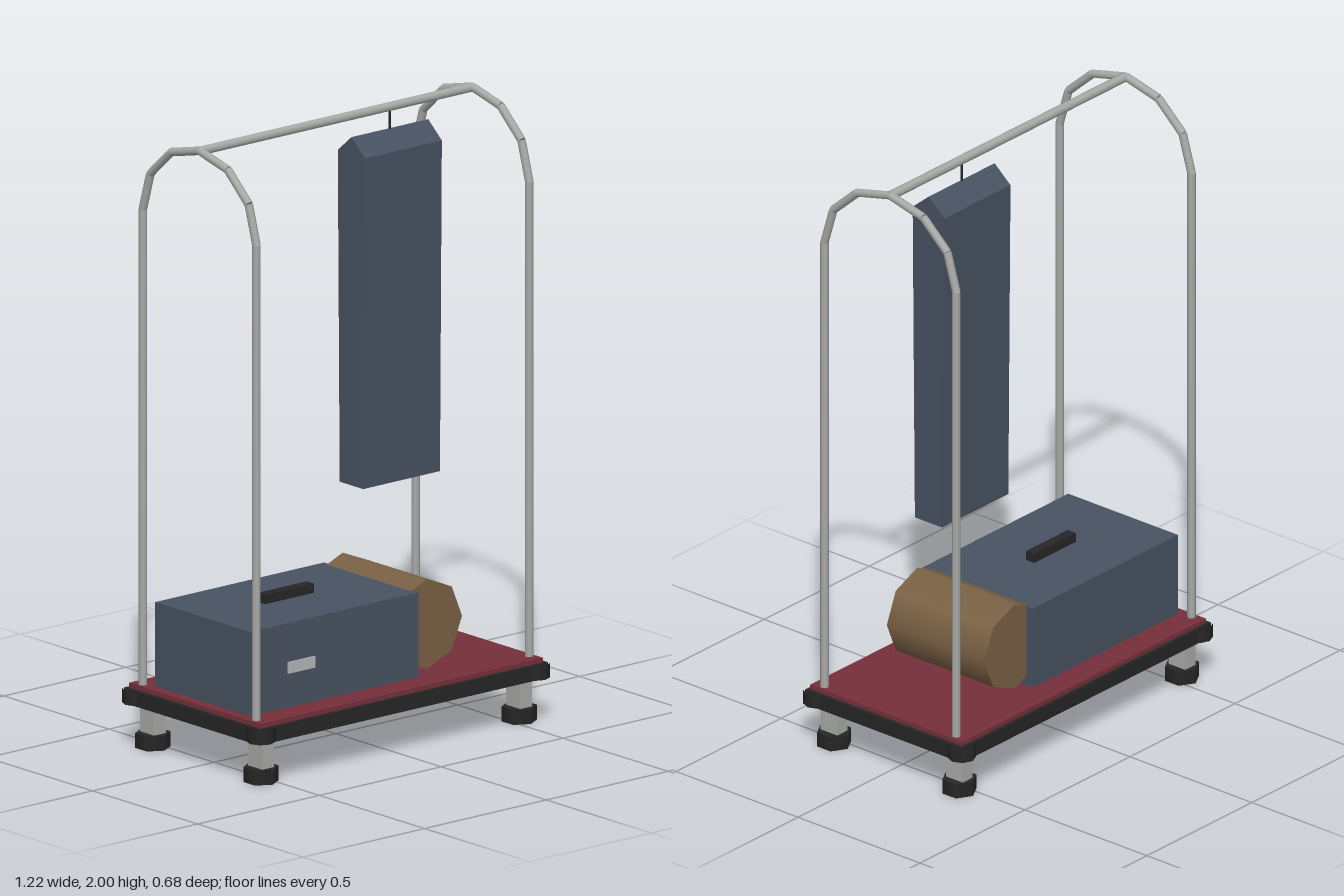
import * as THREE from 'three';

export function createModel() {
  const model = new THREE.Group();
  const mat = (name, color) => {
    const m = new THREE.MeshStandardMaterial({ color });
    m.name = name;
    return m;
  };
  const metal = mat('brushed metal', 0xa9aba8);
  const rubber = mat('black rubber', 0x262626);
  const carpet = mat('red carpet', 0x76303a);
  const fabric = mat('slate fabric', 0x485262);
  const leather = mat('brown leather', 0x7b6245);
  const plate = mat('light plate', 0xb4b8b8);

  const add = (name, geometry, material, x = 0, y = 0, z = 0, parent = model) => {
    const mesh = new THREE.Mesh(geometry, material);
    mesh.name = name;
    mesh.position.set(x, y, z);
    parent.add(mesh);
    return mesh;
  };
  // box given by its limits on each axis
  const box = (name, material, x0, x1, y0, y1, z0, z1) =>
    add(name, new THREE.BoxGeometry(x1 - x0, y1 - y0, z1 - z0), material,
      (x0 + x1) / 2, (y0 + y1) / 2, (z0 + z1) / 2);
  // round bar between two points
  const rod = (name, a, b, r, material, parent = model) => {
    const dir = b.clone().sub(a);
    const mesh = add(name, new THREE.CylinderGeometry(r, r, dir.length(), 8), material, 0, 0, 0, parent);
    mesh.position.copy(a).add(b).multiplyScalar(0.5);
    mesh.quaternion.setFromUnitVectors(new THREE.Vector3(0, 1, 0), dir.normalize());
  };

  // platform
  box('platform', rubber, -0.593, 0.593, 0.14, 0.19, -0.322, 0.322);
  box('carpet', carpet, -0.58, 0.58, 0.19, 0.205, -0.312, 0.312);

  // corner bumpers and casters
  for (const sx of [-1, 1]) {
    for (const sz of [-1, 1]) {
      const bumper = new THREE.CylinderGeometry(0.045, 0.045, 0.046, 8, 1, true);
      add('cornerBumper', bumper, rubber, sx * 0.564, 0.165, sz * 0.296);
      const caster = new THREE.Group();
      caster.name = 'caster';
      caster.position.set(sx * 0.53, 0, sz * 0.257);
      model.add(caster);
      add('casterStem', new THREE.BoxGeometry(0.048, 0.1, 0.068), metal, 0, 0.095, 0, caster);
      add('casterWheel', new THREE.CylinderGeometry(0.056, 0.056, 0.048, 6), rubber, 0, 0.024, 0, caster);
    }
  }

  // end hoops: two posts joined by a six-segment arch
  for (const sx of [-1, 1]) {
    const hoop = new THREE.Group();
    hoop.name = 'endHoop';
    model.add(hoop);
    const points = [new THREE.Vector3(sx * 0.56, 0.2, 0.27)];
    for (let i = 0; i <= 6; i++) {
      const a = (i * Math.PI) / 6;
      points.push(new THREE.Vector3(sx * 0.56, 1.74 + 0.246 * Math.sin(a), 0.27 * Math.cos(a)));
    }
    points.push(new THREE.Vector3(sx * 0.56, 0.2, -0.27));
    for (let i = 1; i < points.length; i++) {
      const post = i === 1 || i === points.length - 1;
      rod(post ? 'post' : 'archSegment', points[i - 1], points[i], 0.0135, metal, hoop);
    }
  }
  rod('hangingRail', new THREE.Vector3(-0.56, 1.985, 0), new THREE.Vector3(0.56, 1.985, 0), 0.015, metal);

  // suitcase
  box('suitcase', fabric, -0.548, 0.145, 0.205, 0.478, -0.225, 0.225);
  box('suitcaseHandle', rubber, -0.305, -0.105, 0.478, 0.508, -0.017, 0.017);
  box('suitcaseTag', plate, -0.393, -0.283, 0.315, 0.352, 0.224, 0.23);

  // duffel bag lying front to back
  const duffel = new THREE.CylinderGeometry(0.145, 0.145, 0.4, 8);
  duffel.rotateX(Math.PI / 2);
  add('duffelBag', duffel, leather, 0.2, 0.36, 0);

  // garment bag: side profile swept along x
  const profile = new THREE.Shape([
    [-0.056, 0.79], [0.056, 0.79], [0.065, 1.86], [0, 1.915], [-0.065, 1.86],
  ].map(([z, y]) => new THREE.Vector2(z, y)));
  const garment = new THREE.ExtrudeGeometry(profile, { depth: 0.315, bevelEnabled: false });
  garment.translate(0, 0, -0.1575);
  garment.rotateY(Math.PI / 2);
  add('garmentBag', garment, fabric, 0.221, 0, 0);
  rod('hangerHook', new THREE.Vector3(0.221, 1.9, 0), new THREE.Vector3(0.221, 1.98, 0), 0.004, rubber);

  return model;
}
